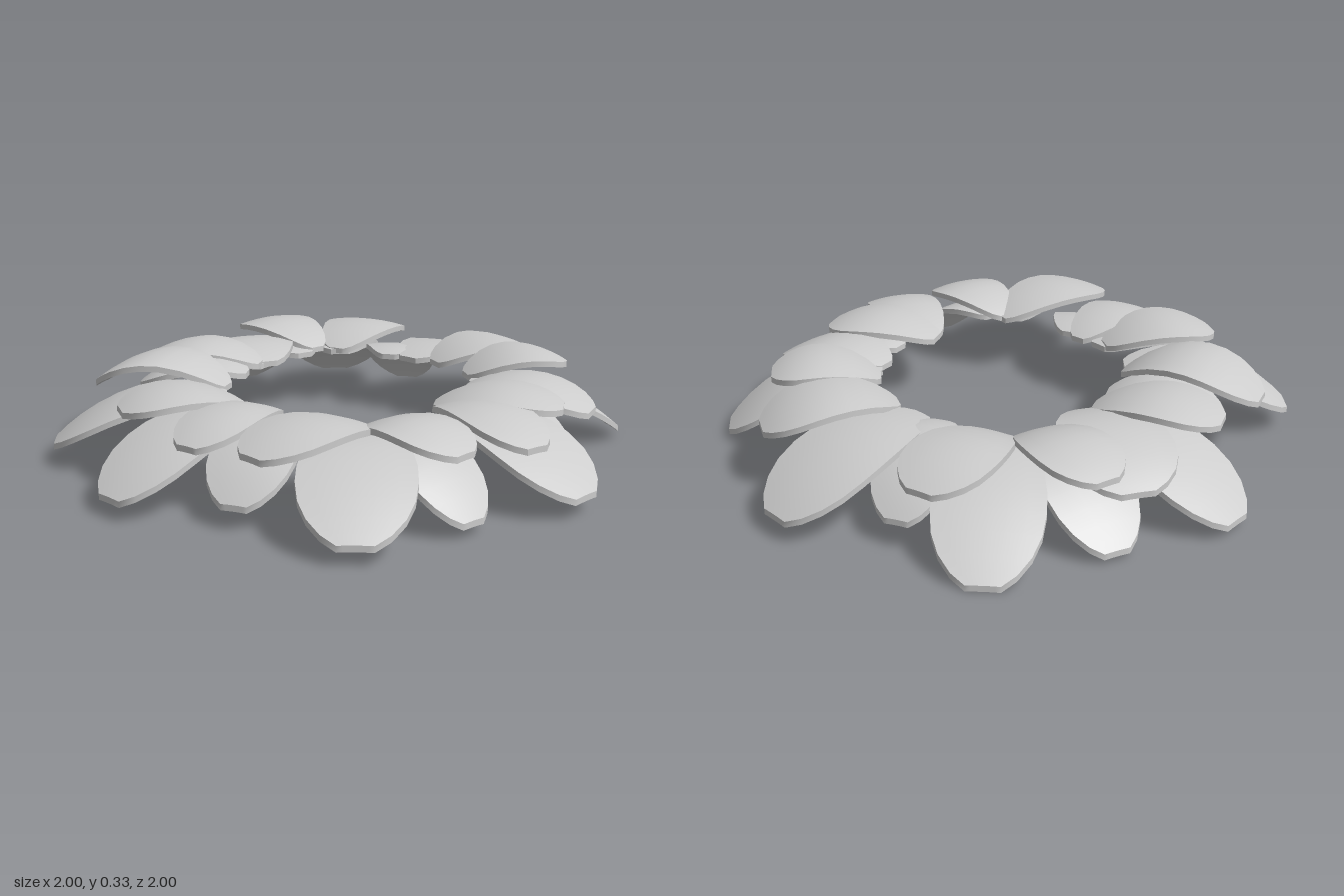
import * as THREE from 'three';
import { toCreasedNormals } from 'three/addons/utils/BufferGeometryUtils.js';

// Petal outline: [distance along the petal, share of half width]
const OUTLINE = [
  [0, 0.2], [0.04, 0.38], [0.12, 0.57], [0.25, 0.77], [0.4, 0.92], [0.53, 0.99],
  [0.65, 1], [0.77, 0.94], [0.87, 0.79], [0.95, 0.56], [1, 0.3],
];
const ACROSS = 6, THICK = 0.02;

// Each layer: height of the inner end, upward bow, sideways droop, and its petals as
// [inner x, inner z, outer x, outer z, width, outer height, bow if it differs]
const LAYERS = {
  lowerPetal: { y: 0.225, bow: 0.32, cup: 0.015, petals: [
    [0, 0.43, -0.02, 0.99, 0.35, 0.075],
    [0, -0.42, -0.08, -1.0, 0.34, 0.05],
    [-0.42, -0.04, -1.0, -0.04, 0.33, 0.07],
    [0.42, -0.09, 1.0, -0.12, 0.36, 0.08],
    [0.3, 0.31, 0.76, 0.6, 0.34, 0.04],
    [0.33, -0.36, 0.71, -0.75, 0.34, 0.025],
    [-0.37, -0.22, -0.81, -0.6, 0.34, 0.08],
    [-0.36, 0.38, -0.76, 0.74, 0.35, 0.07],
    [-0.32, 0.45, -0.37, 0.84, 0.27, 0.055],
    [0.14, 0.42, 0.25, 0.76, 0.26, 0.07],
    [0.2, -0.42, 0.31, -0.88, 0.29, 0.04],
    [0.4, -0.17, 0.72, -0.35, 0.26, 0.06],
    [-0.42, 0.12, -0.79, 0.28, 0.28, 0.07],
  ] },
  middlePetal: { y: 0.23, bow: 0.26, cup: 0.015, petals: [
    [0, -0.41, 0.2, -0.85, 0.36, 0.18],
    [-0.15, -0.36, -0.37, -0.68, 0.3, 0.19],
    [0.32, -0.37, 0.74, -0.5, 0.3, 0.23],
    [0.43, 0.03, 0.85, 0.2, 0.33, 0.21, 0.33],
    [0.28, 0.31, 0.41, 0.73, 0.29, 0.19],
    [0, 0.41, -0.11, 0.87, 0.25, 0.22],
    [-0.32, 0.4, -0.81, 0.38, 0.3, 0.25],
    [-0.4, 0.05, -0.82, 0.11, 0.25, 0.22],
  ] },
  upperPetal: { y: 0.235, bow: 0.25, cup: 0.015, petals: [
    [0.27, -0.42, 0.32, -0.84, 0.27, 0.26],
    [-0.04, -0.41, -0.25, -0.78, 0.29, 0.25],
    [-0.32, -0.27, -0.53, -0.71, 0.31, 0.22, 0.42],
    [0.36, 0.23, 0.67, 0.43, 0.3, 0.27],
    [-0.34, 0.39, -0.35, 0.79, 0.26, 0.24],
    [-0.43, -0.06, -0.8, -0.24, 0.31, 0.26],
    [0, 0.385, 0.22, 0.74, 0.31, 0.25, 0.22],
  ] },
};

// A thin bowed blade swept from the inner end to the outer end
function petalGeometry([xi, zi, xo, zo, width, yo, ownBow], { y, bow, cup }) {
  const length = Math.hypot(xo - xi, zo - zi);
  const fx = (xo - xi) / length, fz = (zo - zi) / length;
  const rows = OUTLINE.length - 1, cols = ACROSS + 1;
  const count = OUTLINE.length * cols;
  const rise = ownBow ?? bow;
  const positions = [], index = [];

  for (const drop of [0, THICK]) {
    for (const [t, share] of OUTLINE) {
      for (let j = 0; j <= ACROSS; j++) {
        const s = ((j / ACROSS) * 2 - 1) * share;
        const side = s * width / 2;
        const height = y + (yo - y) * t + rise * t * (1 - t) - cup * s * s - drop;
        positions.push(xi + (xo - xi) * t - fz * side, height, zi + (zo - zi) * t + fx * side);
      }
    }
  }

  // top and underside
  for (let i = 0; i < rows; i++) {
    for (let j = 0; j < ACROSS; j++) {
      const a = i * cols + j, b = a + 1, c = a + cols, d = c + 1;
      index.push(a, b, c, b, d, c);
      index.push(a + count, c + count, b + count, b + count, c + count, d + count);
    }
  }

  // rim
  const loop = [];
  for (let j = 0; j < ACROSS; j++) loop.push(j);
  for (let i = 0; i < rows; i++) loop.push(i * cols + ACROSS);
  for (let j = ACROSS; j > 0; j--) loop.push(rows * cols + j);
  for (let i = rows; i > 0; i--) loop.push(i * cols);
  loop.forEach((a, k) => {
    const b = loop[(k + 1) % loop.length];
    index.push(b, a, a + count, b, a + count, b + count);
  });

  const geometry = new THREE.BufferGeometry();
  geometry.setAttribute('position', new THREE.Float32BufferAttribute(positions, 3));
  geometry.setIndex(index);
  return toCreasedNormals(geometry, 0.6);
}

export function createModel() {
  const group = new THREE.Group();
  group.name = 'petalWreath';
  const material = new THREE.MeshStandardMaterial({ color: 0xcccccc });
  for (const [name, layer] of Object.entries(LAYERS)) {
    layer.petals.forEach((petal, k) => {
      const mesh = new THREE.Mesh(petalGeometry(petal, layer), material);
      mesh.name = `${name}${k + 1}`;
      group.add(mesh);
    });
  }
  return group;
}
